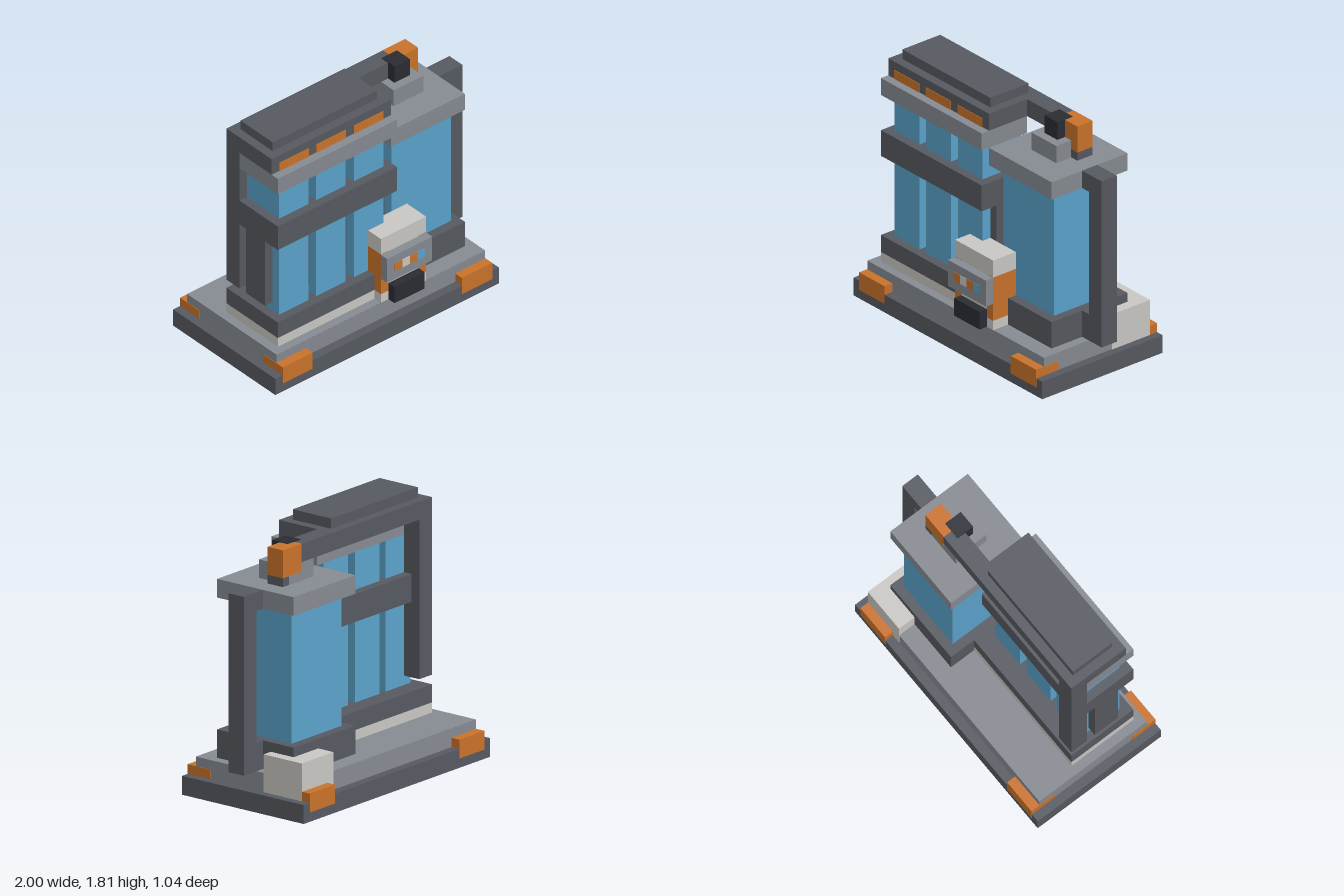
import * as THREE from 'three';

const mat = (name, color) => {
  const m = new THREE.MeshStandardMaterial({ color });
  m.name = name;
  return m;
};

export function createModel() {
  const model = new THREE.Group();
  model.name = 'twinTowerBuilding';
  const dark = mat('darkGrey', 0x565960);
  const grey = mat('midGrey', 0x868a91);
  const orange = mat('orange', 0xc9722a);
  const blue = mat('glassBlue', 0x5ba2cb);
  const white = mat('offWhite', 0xc9c7c3);
  const black = mat('nearBlack', 0x2b2c33);

  // Box given by its limits on each axis
  const box = (name, m, x0, x1, y0, y1, z0, z1) => {
    const mesh = new THREE.Mesh(new THREE.BoxGeometry(x1 - x0, y1 - y0, z1 - z0), m);
    mesh.position.set((x0 + x1) / 2, (y0 + y1) / 2, (z0 + z1) / 2);
    mesh.name = name;
    model.add(mesh);
  };

  // Base, deck and corner bumpers
  box('base', dark, -1, 0.93, 0, 0.13, -0.515, 0.515);
  box('deck', grey, -0.935, 0.868, 0.13, 0.26, -0.45, 0.45);
  for (const [x0, x1] of [[-0.938, -0.68], [0.61, 0.871]]) {
    box('frontBumper', orange, x0, x1, 0.065, 0.195, 0.325, 0.518);
    box('backBumper', orange, x0, x1, 0.065, 0.195, -0.518, -0.325);
  }
  box('utilityBlock', white, 0.545, 0.874, 0.13, 0.39, -0.453, -0.13);

  // Left tower: plinth, glass bays and fins
  box('leftPlinthBase', white, -0.87, 0.16, 0.26, 0.33, -0.13, 0.388);
  box('leftPlinth', dark, -0.87, 0.16, 0.33, 0.455, -0.13, 0.388);
  for (const x of [-0.805, -0.485, -0.16]) {
    box('glassBay', blue, x, x + 0.255, 0.455, 1.49, 0, 0.325);
    box('topLight', orange, x, x + 0.255, 1.615, 1.68, 0.323, 0.329);
  }
  for (const x of [-0.87, -0.55, -0.23, 0.095]) {
    box('fin', dark, x, x + 0.065, 0.52, 1.04, 0.065, 0.26);
  }
  box('middleBand', dark, -0.87, 0.16, 1.04, 1.23, -0.065, 0.388);
  box('ledge', grey, -0.87, 0.16, 1.49, 1.615, 0, 0.388);
  box('topStorey', dark, -0.87, 0.16, 1.615, 1.74, -0.01, 0.325);
  box('roofSlab', dark, -0.805, 0.095, 1.74, 1.81, -0.065, 0.26);

  // Rear frame: column and beam reaching over to the right tower
  box('rearColumn', dark, -0.87, -0.74, 0.52, 1.63, -0.13, 0);
  box('rearBeam', dark, -0.87, 0.48, 1.615, 1.74, -0.13, 0);
  box('beamEnd', orange, 0.48, 0.675, 1.55, 1.742, -0.13, 0);
  box('beamFoot', dark, 0.61, 0.675, 1.49, 1.55, -0.13, 0);

  // Right tower
  box('rightPlinth', dark, 0.16, 0.8, 0.26, 0.455, -0.323, 0.325);
  box('rightGlass', blue, 0.225, 0.74, 0.455, 1.36, -0.257, 0.257);
  box('rightCap', grey, 0.16, 0.8, 1.36, 1.488, -0.323, 0.325);
  box('chimneyBase', grey, 0.355, 0.61, 1.488, 1.615, -0.127, 0.127);
  box('chimney', black, 0.415, 0.547, 1.615, 1.746, -0.065, 0.065);

  // Side bracket
  box('bracketPost', dark, 0.87, 1, 0.26, 1.488, -0.065, 0.065);
  box('bracketTopArm', dark, 0.8, 0.87, 1.36, 1.488, -0.065, 0.065);
  box('bracketBottomArm', dark, 0.8, 0.87, 0.26, 0.455, -0.065, 0.065);

  // Entrance kiosk
  box('kioskFoot', white, -0.035, 0.355, 0.26, 0.33, 0.26, 0.453);
  box('kioskCore', white, 0.03, 0.29, 0.33, 0.65, 0.26, 0.453);
  box('kioskSide', orange, -0.035, 0.03, 0.33, 0.65, 0.26, 0.453);
  box('kioskSide', orange, 0.29, 0.355, 0.33, 0.65, 0.26, 0.453);
  box('kioskRoof', white, -0.035, 0.355, 0.65, 0.775, 0.26, 0.453);
  box('signBoard', grey, -0.035, 0.355, 0.455, 0.647, 0.453, 0.515);
  box('entrance', black, 0.03, 0.29, 0.26, 0.39, 0.453, 0.515);
  [orange, white, orange, blue].forEach((m, i) => {
    const x = 0.03 + i * 0.065;
    box('signLight', m, x, x + 0.065, 0.52, 0.583, 0.513, 0.518);
  });

  return model;
}
